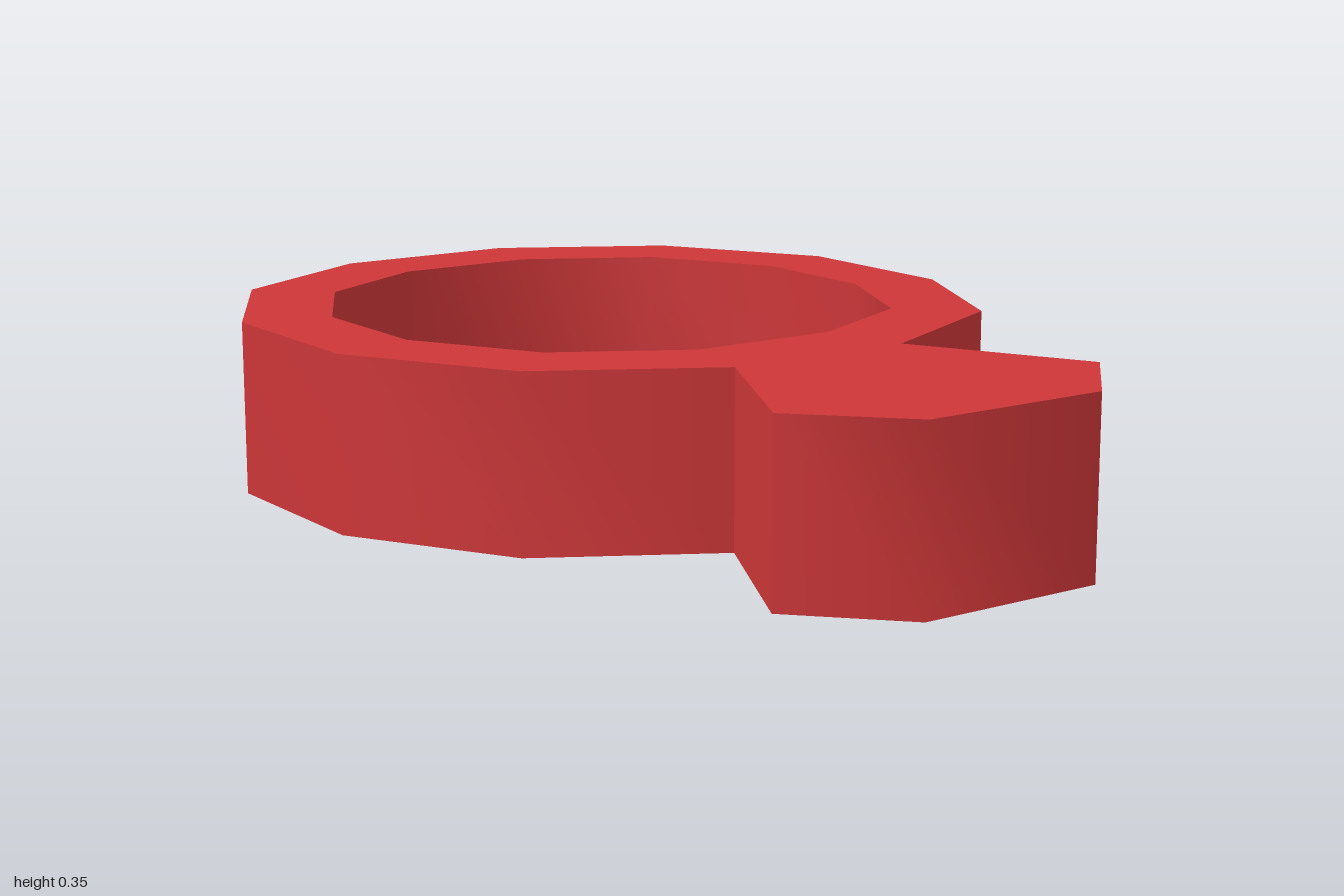
import * as THREE from 'three';
import { toCreasedNormals } from 'three/addons/utils/BufferGeometryUtils.js';

const HEIGHT = 0.35;
const points = (list) => list.map(([x, z]) => new THREE.Vector2(x, z));

export function createModel() {
  const group = new THREE.Group();
  group.name = 'gemRing';

  const red = new THREE.MeshStandardMaterial({ color: 0xcc3638 });
  red.name = 'red';

  // Plan outline (x, z): twelve-sided band, opening into the gem at the front
  const outline = new THREE.Shape(points([
    [-0.2, -1], [0.195, -1], [0.53, -0.81], [0.73, -0.47], [0.73, -0.07], [0.555, 0.285], [0.195, 0.46],
    [0.375, 0.81], [0.195, 1], [-0.2, 1], [-0.38, 0.81],
    [-0.2, 0.46], [-0.54, 0.265], [-0.73, -0.07], [-0.73, -0.47], [-0.54, -0.81],
  ]));

  // Finger hole
  outline.holes.push(new THREE.Path(points([
    [-0.15, -0.825], [0.15, -0.825], [0.41, -0.68], [0.555, -0.42], [0.555, -0.12], [0.425, 0.155],
    [0.155, 0.285], [-0.155, 0.285], [-0.41, 0.14], [-0.555, -0.12], [-0.555, -0.42], [-0.41, -0.68],
  ])));

  // Extrude, then lay flat; walls are smooth, the sharp corners stay creased
  const solid = new THREE.ExtrudeGeometry(outline, { depth: HEIGHT, bevelEnabled: false });
  solid.rotateX(Math.PI / 2).translate(0, HEIGHT, 0);

  const ring = new THREE.Mesh(toCreasedNormals(solid, 0.9), red);
  ring.name = 'bandWithGem';
  group.add(ring);
  return group;
}
